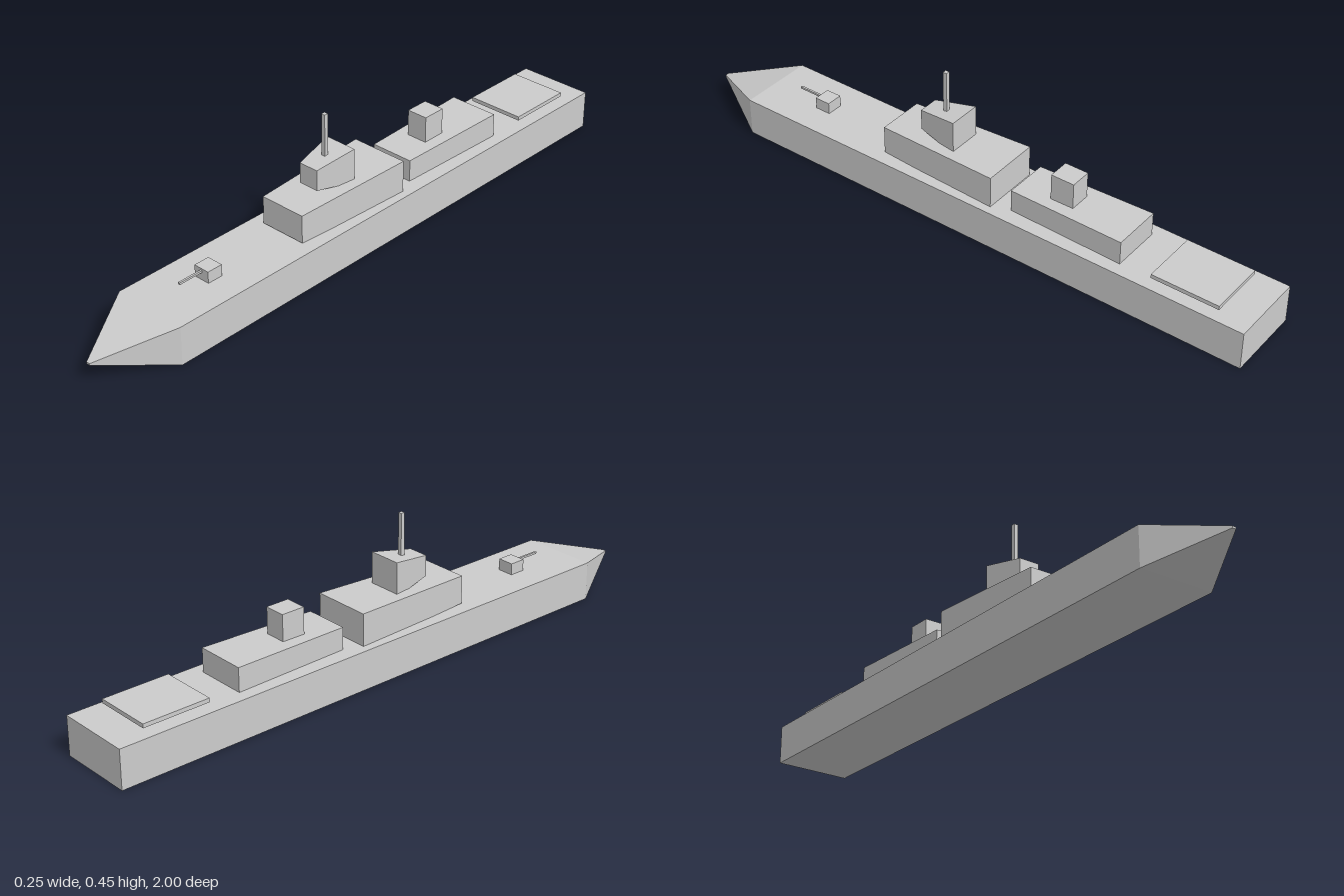
import * as THREE from 'three';

const grey = new THREE.MeshStandardMaterial({ color: 0xcccccc });
grey.name = 'naval grey';

// Box from z0 (back) to z1 (front) and y0 to y1; its front face is scaled
// about its centre by fx, fy to make a tapered block.
function block(name, halfWidth, y0, y1, z0, z1, fx = 1, fy = 1) {
  let geo = new THREE.BoxGeometry(halfWidth * 2, y1 - y0, z1 - z0);
  const p = geo.attributes.position;
  for (let i = 0; i < p.count; i++) {
    if (p.getZ(i) > 0) p.setXY(i, p.getX(i) * fx, p.getY(i) * fy);
  }
  geo = geo.toNonIndexed();
  geo.computeVertexNormals();
  const mesh = new THREE.Mesh(geo, grey);
  mesh.name = name;
  mesh.position.set(0, (y0 + y1) / 2, (z0 + z1) / 2);
  return mesh;
}

export function createModel() {
  const ship = new THREE.Group();
  ship.name = 'warship';

  // Hull with a pointed bow
  ship.add(block('hull', 0.123, 0, 0.124, -1, 0.78));
  ship.add(block('bow', 0.123, 0, 0.124, 0.78, 1, 0.05, 0.05));

  // Forward superstructure, bridge and mast
  ship.add(block('forwardDeckhouse', 0.096, 0.117, 0.227, -0.138, 0.271, 0.81, 0.82));
  ship.add(block('bridge', 0.054, 0.212, 0.323, 0.029, 0.164, 0.62, 0.6));
  ship.add(block('mast', 0.0065, 0.3, 0.446, 0.089, 0.102));

  // Aft superstructure and funnel
  ship.add(block('aftDeckhouse', 0.082, 0.11, 0.2, -0.577, -0.194, 0.88, 0.88));
  ship.add(block('funnel', 0.035, 0.19, 0.281, -0.383, -0.306));

  // Deck gun
  const gun = new THREE.Group();
  gun.name = 'deckGun';
  gun.add(block('turret', 0.027, 0.124, 0.161, 0.536, 0.588));
  gun.add(block('gunBarrel', 0.0033, 0.149, 0.1556, 0.57, 0.671));
  ship.add(gun);

  // Raised landing pad at the stern
  ship.add(block('landingPad', 0.094, 0.138, 0.151, -0.904, -0.686));

  return ship;
}
